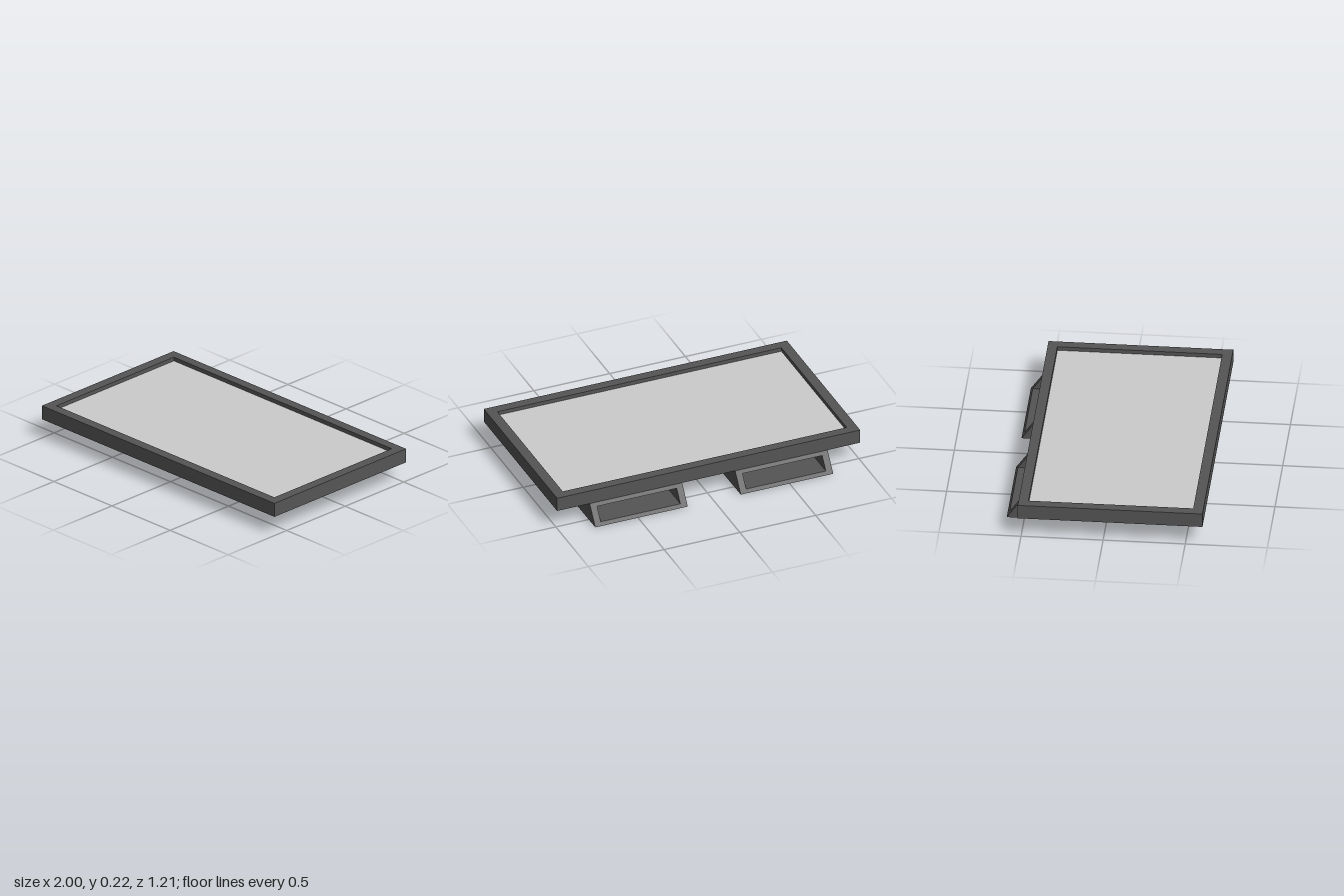
import * as THREE from 'three';

const dark = new THREE.MeshStandardMaterial({ color: 0x555555, flatShading: true });
const light = new THREE.MeshStandardMaterial({ color: 0xcccccc, flatShading: true });

function add(parent, name, geometry, material) {
  const mesh = new THREE.Mesh(geometry, material);
  mesh.name = name;
  parent.add(mesh);
  return mesh;
}

const points = (list) => list.map(([a, b]) => new THREE.Vector2(a, b));
const rectangle = (x, y0, y1) => points([[-x, y0], [x, y0], [x, y1], [-x, y1]]);

// Extrudes a side profile of [z, y] points from x0 to x1
function sideExtrude(profile, x0, x1) {
  const geometry = new THREE.ExtrudeGeometry(new THREE.Shape(points(profile)), { depth: x1 - x0, bevelEnabled: false });
  return geometry.rotateY(-Math.PI / 2).translate(x1, 0, 0);
}

export function createModel() {
  const model = new THREE.Group();
  model.name = 'framedPanel';

  // Raised rim around the panel (shape y becomes -z)
  const rim = new THREE.Shape(rectangle(1, -0.605, 0.52));
  rim.holes.push(new THREE.Path(rectangle(0.937, -0.543, 0.46)));
  const rimGeometry = new THREE.ExtrudeGeometry(rim, { depth: 0.09, bevelEnabled: false });
  add(model, 'frame', rimGeometry.rotateX(-Math.PI / 2).translate(0, 0.125, 0), dark);

  // Closed underside and the light sunken surface
  const back = add(model, 'backPlate', new THREE.BoxGeometry(1.874, 0.05, 1.003), dark);
  back.position.set(0, 0.15, 0.0415);
  const panel = add(model, 'panel', new THREE.BoxGeometry(1.874, 0.015, 1.003), light);
  panel.position.set(0, 0.1825, 0.0415);

  // Slanted feet, each with a deep slot in its sloping rear face
  const outer = [[-0.08, 0.125], [-0.195, 0], [-0.607, 0.005], [-0.52, 0.125]];
  const slotted = [
    ...outer.slice(0, 3),
    [-0.592, 0.026], [-0.35, 0.026], [-0.35, 0.104], [-0.535, 0.104],
    outer[3],
  ];
  for (const [name, x] of [['leftFoot', 0.48], ['rightFoot', -0.48]]) {
    const foot = new THREE.Group();
    foot.name = name;
    foot.position.x = x;
    add(foot, 'footBody', sideExtrude(slotted, -0.263, 0.263), dark);
    add(foot, 'innerCheek', sideExtrude(outer, -0.305, -0.263), dark);
    add(foot, 'outerCheek', sideExtrude(outer, 0.263, 0.305), dark);
    model.add(foot);
  }
  return model;
}
